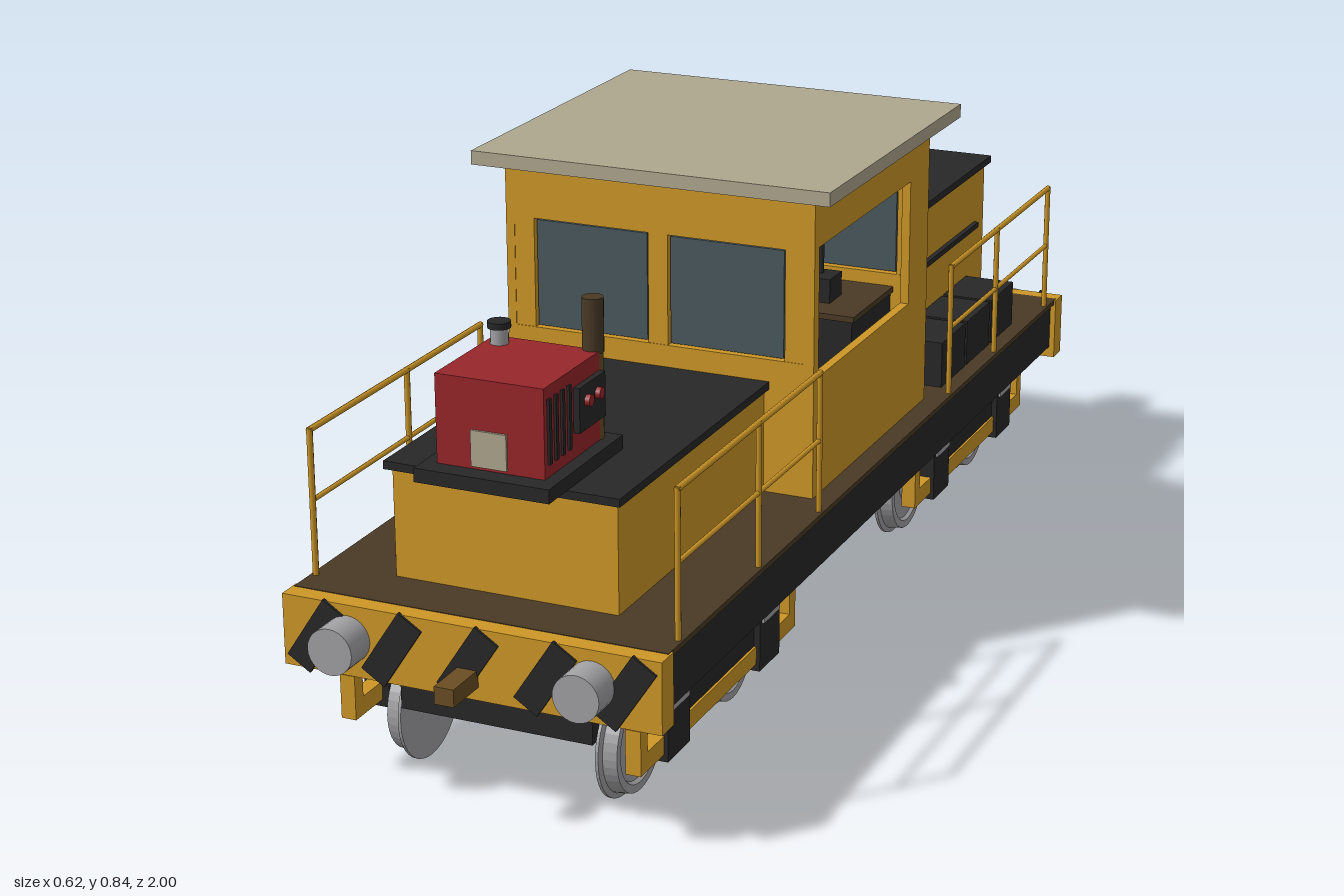
import * as THREE from 'three';

const mat = (name, color) => {
  const m = new THREE.MeshStandardMaterial({ color });
  m.name = name;
  return m;
};

export function createModel() {
  const yellow = mat('yellow paint', 0xce9726);
  const dark = mat('dark paint', 0x272728);
  const brown = mat('deck brown', 0x4a3a25);
  const rust = mat('coupler brown', 0x6a4d24);
  const beige = mat('roof beige', 0xafa78e);
  const steel = mat('steel', 0xa2a2a5);
  const red = mat('red paint', 0x97262a);
  const glass = mat('slate glass', 0x4a585f);

  const model = new THREE.Group();
  model.name = 'shunter';
  const group = (name, parent = model) => {
    const g = new THREE.Group();
    g.name = name;
    parent.add(g);
    return g;
  };
  // Box given by its min and max on each axis
  const box = (p, name, m, x0, x1, y0, y1, z0, z1) => {
    const mesh = new THREE.Mesh(new THREE.BoxGeometry(x1 - x0, y1 - y0, z1 - z0), m);
    mesh.position.set((x0 + x1) / 2, (y0 + y1) / 2, (z0 + z1) / 2);
    mesh.name = name;
    p.add(mesh);
    return mesh;
  };
  // Cylinder along a chosen axis
  const cyl = (p, name, m, r, len, axis, x, y, z, sides = 28) => {
    const mesh = new THREE.Mesh(new THREE.CylinderGeometry(r, r, len, sides), m);
    if (axis === 'x') mesh.rotation.z = Math.PI / 2;
    if (axis === 'z') mesh.rotation.x = Math.PI / 2;
    mesh.position.set(x, y, z);
    mesh.name = name;
    p.add(mesh);
  };

  // Underframe and deck
  const frame = group('underframe');
  box(frame, 'mainFrame', dark, -0.3, 0.3, 0.22, 0.306, -0.885, 0.885);
  box(frame, 'deck', brown, -0.307, 0.307, 0.306, 0.315, -0.895, 0.895);
  cyl(frame, 'deckPipe', dark, 0.006, 1.345, 'z', -0.213, 0.322, 0.0725, 10);

  // End beams with slanted stripes, bumpers and couplers
  for (const s of [1, -1]) {
    const end = group(s > 0 ? 'frontEnd' : 'backEnd');
    box(end, 'endBeam', yellow, -0.31, 0.31, 0.2, 0.314, s * 0.905 - 0.02, s * 0.905 + 0.02);
    for (let i = -2; i <= 2; i++) {
      const st = box(end, 'warningStripe', dark, -0.0225, 0.0225, -0.059, 0.059, -0.003, 0.003);
      st.position.set(i * 0.126, 0.256, s * 0.926);
      st.rotation.z = -0.58;
    }
    for (const x of [-0.2, 0.2]) {
      cyl(end, 'bumper', steel, 0.037, 0.056, 'z', x, 0.26, s * 0.951);
    }
    box(end, 'coupler', rust, -0.016, 0.016, 0.221, 0.249, s * 0.96 - 0.04, s * 0.96 + 0.04);
  }

  // Cab walls; the left wall has a wide opening
  const cab = group('cab');
  box(cab, 'rightWall', yellow, -0.27, -0.255, 0.315, 0.815, -0.26, 0.26);
  box(cab, 'leftWallLower', yellow, 0.255, 0.27, 0.315, 0.515, -0.26, 0.26);
  box(cab, 'leftWallHeader', yellow, 0.255, 0.27, 0.73, 0.815, -0.26, 0.26);
  box(cab, 'leftFrontPost', yellow, 0.255, 0.27, 0.515, 0.73, 0.24, 0.26);
  box(cab, 'leftBackPanel', yellow, 0.255, 0.27, 0.515, 0.73, -0.26, -0.17);
  for (const s of [1, -1]) {
    const z = s * 0.252;
    box(cab, 'endWall', yellow, -0.255, 0.255, 0.315, 0.54, z - 0.008, z + 0.008);
    box(cab, 'endHeader', yellow, -0.255, 0.255, 0.725, 0.815, z - 0.008, z + 0.008);
    box(cab, 'windowPillar', yellow, -0.017, 0.017, 0.54, 0.725, z - 0.007, z + 0.007);
    for (const x of [-1, 1]) {
      box(cab, 'windowPost', yellow, x * 0.2375 - 0.0175, x * 0.2375 + 0.0175, 0.54, 0.725,
        z - 0.007, z + 0.007);
      box(cab, 'windowPane', glass, x * 0.1185 - 0.098, x * 0.1185 + 0.098, 0.543, 0.722,
        z - 0.003, z + 0.003);
    }
  }
  box(cab, 'roof', beige, -0.31, 0.31, 0.815, 0.838, -0.3, 0.3);

  // Driver's desk and controls
  const desk = group('controlDesk', cab);
  box(desk, 'deskBody', dark, 0.04, 0.21, 0.315, 0.508, -0.243, -0.06);
  box(desk, 'deskTop', brown, 0.035, 0.215, 0.508, 0.518, -0.243, -0.055);
  box(desk, 'controller', dark, 0.08, 0.15, 0.518, 0.56, -0.165, -0.11);
  cyl(desk, 'brakeLever', dark, 0.005, 0.11, 'y', 0.12, 0.595, -0.145, 10);
  cyl(desk, 'leverKnob', red, 0.01, 0.015, 'y', 0.12, 0.65, -0.145, 12);
  box(cab, 'grabBar', dark, -0.255, -0.24, 0.552, 0.56, 0.16, 0.24);

  // Hoods
  const hood = (name, s, top, end) => {
    const g = group(name);
    const span = (a, b) => (s > 0 ? [a, b] : [-b, -a]);
    box(g, 'hoodBody', yellow, -0.185, 0.185, 0.315, top, ...span(0.26, end));
    box(g, 'hoodRoof', dark, -0.194, 0.194, top, top + 0.013, ...span(0.26, end + 0.012));
    return g;
  };
  hood('frontHood', 1, 0.49, 0.802);
  const backHood = hood('backHood', -1, 0.593, 0.806);
  for (const x of [-0.188, 0.188]) {
    box(backHood, 'sideRail', dark, x - 0.006, x + 0.006, 0.483, 0.493, -0.755, -0.305);
  }
  for (let i = 0; i < 3; i++) {
    const z = -0.388 - i * 0.133;
    box(backHood, 'batteryBox', dark, 0.185, 0.278, 0.315, 0.397, z - 0.062, z + 0.062);
  }
  box(backHood, 'headlamp', dark, -0.035, 0.035, 0.606, 0.682, -0.838, -0.788);
  box(backHood, 'lampLens', beige, -0.024, 0.024, 0.624, 0.67, -0.842, -0.837);

  // Generator set on the front hood
  const gen = group('generator');
  box(gen, 'basePlate', dark, -0.11, 0.11, 0.503, 0.525, 0.625, 0.872);
  box(gen, 'housing', red, -0.088, 0.088, 0.525, 0.664, 0.652, 0.84);
  box(gen, 'nameplate', beige, -0.03, 0.028, 0.53, 0.586, 0.839, 0.844);
  for (let i = 0; i < 8; i++) {
    const z = 0.826 - i * 0.0215;
    box(gen, 'louvre', dark, -0.092, -0.087, 0.545, 0.645, z - 0.004, z + 0.004);
    if (i < 4) box(gen, 'louvre', dark, 0.087, 0.092, 0.545, 0.645, z - 0.004, z + 0.004);
  }
  box(gen, 'controlPanel', dark, 0.087, 0.098, 0.565, 0.635, 0.658, 0.745);
  for (const z of [0.685, 0.72]) cyl(gen, 'panelKnob', red, 0.009, 0.012, 'x', 0.1, 0.61, z, 12);
  cyl(gen, 'exhaust', rust, 0.015, 0.14, 'y', 0.075, 0.595, 0.65, 18);
  cyl(gen, 'exhaustStack', brown, 0.0165, 0.085, 'y', 0.075, 0.7025, 0.65, 18);
  cyl(gen, 'fillerNeck', steel, 0.014, 0.028, 'y', -0.064, 0.677, 0.682, 18);
  cyl(gen, 'fillerCap', dark, 0.018, 0.01, 'y', -0.064, 0.694, 0.682, 18);

  // Handrails on both sides of each deck end
  for (const s of [1, -1]) {
    for (const x of [-0.299, 0.299]) {
      const rail = group('handrail');
      for (const z of [0.305, 0.55, 0.845]) {
        cyl(rail, 'railPost', yellow, 0.005, 0.235, 'y', x, 0.4325, s * z, 8);
      }
      for (const y of [0.435, 0.547]) {
        cyl(rail, 'railBar', yellow, y > 0.5 ? 0.005 : 0.004, 0.545, 'z', x, y, s * 0.575, 8);
      }
    }
  }

  // Wheel profile: flange inside, tread outside, turned around its axle
  const wheelProfile = [[0, 0], [0.095, 0], [0.095, 0.005], [0.086, 0.008], [0.083, 0.03],
    [0.07, 0.03], [0.066, 0.024], [0.03, 0.024], [0.026, 0.03], [0, 0.03]];
  const wheelGeo = new THREE.LatheGeometry(
    wheelProfile.map(([r, y]) => new THREE.Vector2(r, y)), 40).toNonIndexed();
  wheelGeo.computeVertexNormals();

  // Bogies
  for (const s of [1, -1]) {
    const c = s * 0.575;
    const bogie = group(s > 0 ? 'frontBogie' : 'backBogie');
    cyl(bogie, 'pivot', dark, 0.1, 0.04, 'y', 0, 0.205, c);
    box(bogie, 'bolster', dark, -0.16, 0.16, 0.12, 0.2, c - 0.27, c + 0.27);
    for (const x of [-1, 1]) {
      const side = (name, m, a, b, y0, y1, z0, z1) =>
        box(bogie, name, m, Math.min(x * a, x * b), Math.max(x * a, x * b), y0, y1, c + z0, c + z1);
      side('upperBeam', dark, 0.155, 0.248, 0.174, 0.208, -0.265, 0.265);
      side('springBeam', dark, 0.215, 0.246, 0.125, 0.176, -0.14, 0.14);
      side('lowerBar', yellow, 0.225, 0.25, 0.098, 0.128, -0.295, 0.295);
      for (const e of [-1, 1]) {
        side('barEnd', yellow, 0.225, 0.25, 0.098, 0.17, e * 0.283 - 0.012, e * 0.283 + 0.012);
        const z = e * 0.174;
        side('axleBox', dark, 0.213, 0.256, 0.086, 0.2, z - 0.04, z + 0.04);
        side('axleBoxCover', steel, 0.25, 0.26, 0.166, 0.194, z - 0.032, z + 0.032);
        const wheel = new THREE.Mesh(wheelGeo, steel);
        wheel.name = 'wheel';
        wheel.rotation.z = -x * Math.PI / 2;
        wheel.position.set(x * 0.163, 0.095, c + z);
        bogie.add(wheel);
      }
    }
    for (const e of [-1, 1]) cyl(bogie, 'axle', dark, 0.016, 0.44, 'x', 0, 0.095, c + e * 0.174, 16);
  }

  return model;
}
